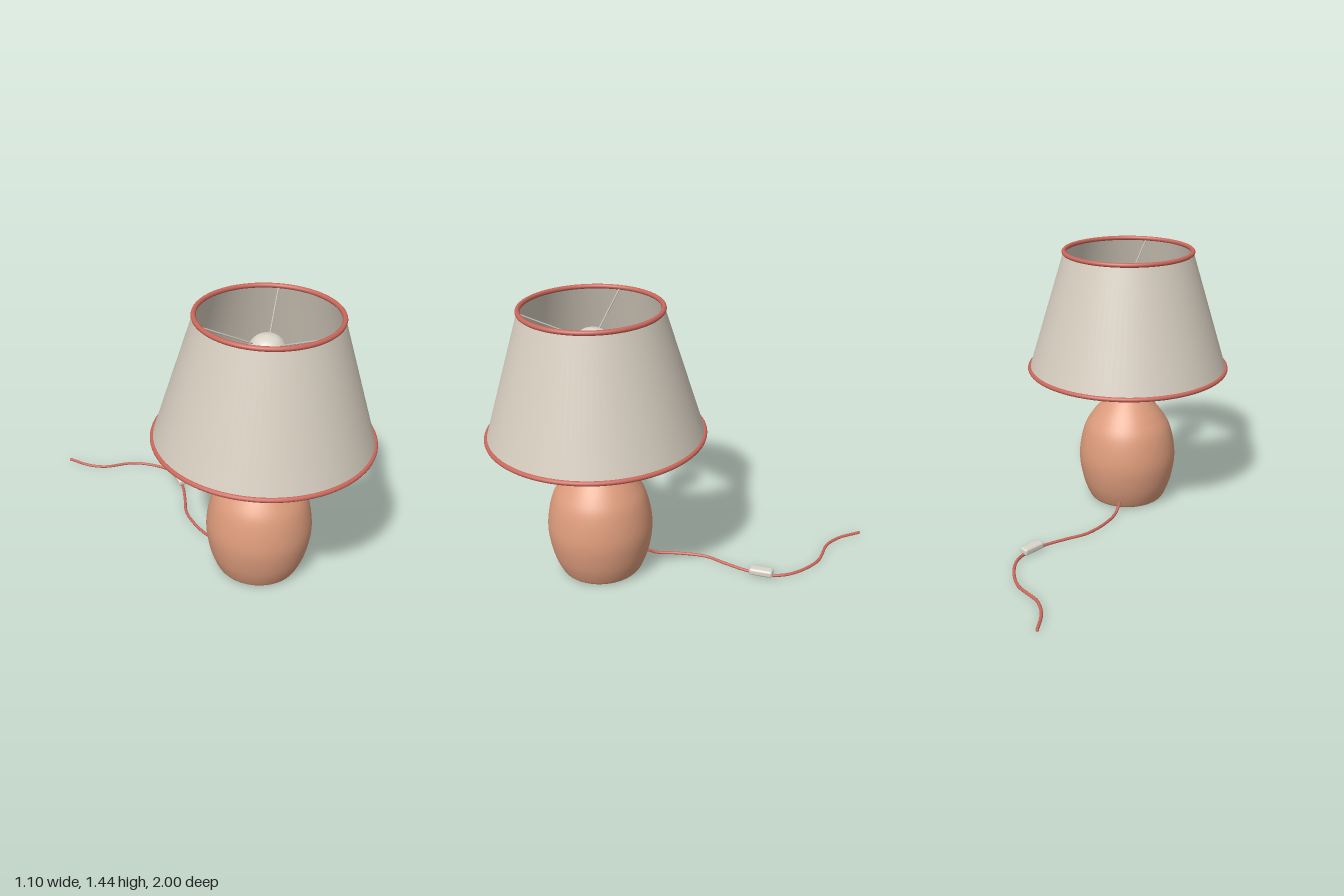
import * as THREE from 'three';
import { RoundedBoxGeometry } from 'three/addons/geometries/RoundedBoxGeometry.js';

const CENTER_Z = 0.445;

function material(name, color, side = THREE.FrontSide) {
  const m = new THREE.MeshStandardMaterial({ color, side });
  m.name = name;
  return m;
}

function add(parent, name, geometry, mat, x = 0, y = 0, z = 0) {
  const mesh = new THREE.Mesh(geometry, mat);
  mesh.name = name;
  mesh.position.set(x, y, z);
  parent.add(mesh);
  return mesh;
}

const v2 = ([x, y]) => new THREE.Vector2(x, y);
const v3 = (p) => new THREE.Vector3(...p);

// Smooth lathe through a few profile points, closed on the axis at both ends
function turned(points, samples = 60, segments = 64) {
  const curve = new THREE.SplineCurve(points.map(v2)).getPoints(samples);
  curve.forEach((p) => { p.x = Math.max(p.x, 0); });
  return new THREE.LatheGeometry(curve, segments);
}

export function createModel() {
  const clay = material('terracotta', 0xdd9c7c);
  const linen = material('linen', 0xd6cdbf, THREE.DoubleSide);
  const trim = material('red trim', 0xca675b);
  const metal = material('pale metal', 0xc6c0b6);
  const glass = material('bulb glass', 0xdad5ca);

  const model = new THREE.Group();
  model.name = 'tableLamp';
  const lamp = new THREE.Group();
  lamp.name = 'lamp';
  lamp.position.z = CENTER_Z;
  model.add(lamp);

  // Ceramic base: bottle body with a rolled lip
  add(lamp, 'base', turned([
    [0.195, 0.003], [0.215, 0.02], [0.25, 0.11], [0.271, 0.23], [0.265, 0.33], [0.24, 0.43],
    [0.2, 0.5], [0.15, 0.562], [0.1, 0.615], [0.08, 0.65], [0.09, 0.673], [0.098, 0.693],
    [0.094, 0.713], [0.075, 0.722],
  ], 90), clay);
  const foot = add(lamp, 'baseUnderside', new THREE.CircleGeometry(0.195, 64), clay, 0, 0.003, 0);
  foot.rotation.x = Math.PI / 2;
  const cap = add(lamp, 'baseTop', new THREE.CircleGeometry(0.075, 48), clay, 0, 0.722, 0);
  cap.rotation.x = -Math.PI / 2;

  // Stem, socket and bulb
  add(lamp, 'stem', new THREE.CylinderGeometry(0.02, 0.02, 0.2, 24), metal, 0, 0.81, 0);
  add(lamp, 'socket', new THREE.CylinderGeometry(0.055, 0.055, 0.16, 32), metal, 0, 0.975, 0);
  add(lamp, 'socketCollar', new THREE.CylinderGeometry(0.055, 0.046, 0.015, 32), metal, 0, 0.8875, 0);
  add(lamp, 'bulb', turned([
    [0.042, 1.04], [0.045, 1.09], [0.066, 1.15], [0.09, 1.2], [0.095, 1.24],
    [0.082, 1.285], [0.05, 1.318], [0, 1.331],
  ], 40, 40), glass);

  // Open shade with rolled trim at both rims
  add(lamp, 'shade', new THREE.CylinderGeometry(0.345, 0.54, 0.64, 96, 1, true), linen, 0, 1.108, 0);
  for (const [name, radius, y] of [['topTrim', 0.343, 1.428], ['bottomTrim', 0.54, 0.788]]) {
    add(lamp, name, new THREE.TorusGeometry(radius, 0.012, 12, 96), trim, 0, y, 0).rotation.x = Math.PI / 2;
  }

  // Three spokes from the top rim down to the bulb
  for (let i = 0; i < 3; i++) {
    const a = THREE.MathUtils.degToRad(97 + 120 * i);
    const at = (r, y) => new THREE.Vector3(r * Math.cos(a), y, r * Math.sin(a));
    const path = new THREE.LineCurve3(at(0.34, 1.42), at(0.05, 1.285));
    add(lamp, 'spoke' + (i + 1), new THREE.TubeGeometry(path, 1, 0.004, 8), metal);
  }

  // Power cord leaving the back of the base and winding over the ground
  const cordPath = new THREE.CatmullRomCurve3([
    [0, 0.048, 0.25], [0.003, 0.04, 0.2], [0.012, 0.016, 0.145], [0.04, 0.01, 0.05],
    [0.12, 0.01, -0.095], [0.217, 0.01, -0.175], [0.31, 0.01, -0.255], [0.365, 0.01, -0.325],
    [0.405, 0.01, -0.395], [0.41, 0.01, -0.49], [0.35, 0.01, -0.65], [0.215, 0.01, -0.775],
    [0.172, 0.01, -0.87], [0.158, 0.01, -1],
  ].map(v3));
  add(model, 'cord', new THREE.TubeGeometry(cordPath, 140, 0.008, 10), trim);
  add(model, 'cordEnd', new THREE.SphereGeometry(0.008, 10, 8), trim, 0.158, 0.01, -0.992);

  // Inline switch
  const inlineSwitch = add(model, 'cordSwitch',
    new RoundedBoxGeometry(0.052, 0.038, 0.125, 4, 0.013), glass, 0.365, 0.025, -0.32);
  inlineSwitch.rotation.y = Math.atan2(-0.566, 0.824);

  return model;
}
